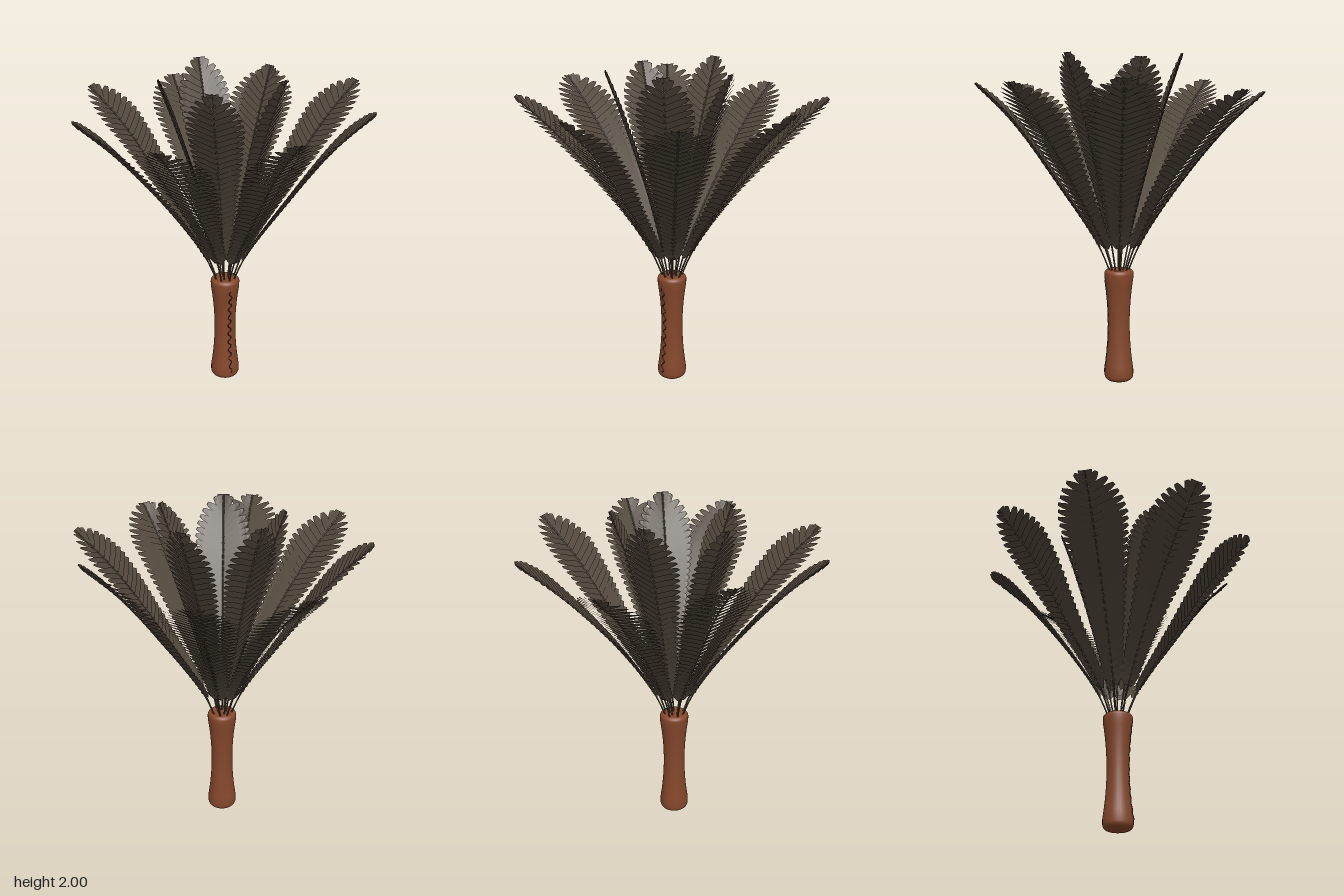
import * as THREE from 'three';

const leather = new THREE.MeshStandardMaterial({ color: 0x85472b });
leather.name = 'brown leather';
const plume = new THREE.MeshStandardMaterial({ color: 0x51473b, side: THREE.DoubleSide });
plume.name = 'dark feather';
const dark = new THREE.MeshStandardMaterial({ color: 0x2c2620 });
dark.name = 'thread';

// Half-width of a vane along the feather, as fractions of the widest point
const OUTLINE = [[0, 0.1], [0.14, 0.06], [0.19, 0.27], [0.3, 0.38], [0.5, 0.62], [0.68, 0.87],
  [0.82, 1], [0.88, 0.92], [0.94, 0.72], [0.98, 0.45], [1, 0.15]];
function outline(t) {
  for (let i = 1; i < OUTLINE.length; i++) {
    const [t0, w0] = OUTLINE[i - 1], [t1, w1] = OUTLINE[i];
    if (t <= t1) return w0 + (w1 - w0) * (t - t0) / (t1 - t0);
  }
  return OUTLINE[OUTLINE.length - 1][1];
}

// Overlapping barbs on both sides of the quill, each swept towards the tip and tilted like a slat
function vaneGeometry(curve, halfWidth, fold) {
  const barbs = 31, start = 0.13, sweep = 0.05;
  const pitch = (0.98 - start) / barbs, length = curve.getLength();
  const sections = [[0, 1.3], [0.6, 1.2], [0.86, 0.85], [1, 0.5]]; // [along barb, width in pitches]
  const positions = [];
  for (const side of [-1, 1]) {
    for (let i = 0; i < barbs; i++) {
      const root = start + (i + 0.5) * pitch;
      const reach = halfWidth * outline(Math.min(1, root + sweep));
      const slant = Math.atan2(sweep * length, reach);
      const corner = (f, width, edge) => {
        const half = edge * width * pitch * length / 2;
        const u = THREE.MathUtils.clamp(root + sweep * f + half * Math.cos(slant) / length, 0, 1);
        const across = f * reach - half * Math.sin(slant);
        const p = curve.getPointAt(u), d = curve.getTangentAt(u);
        const lift = fold * f * reach - edge * 0.007 * (1 - f * 0.3);
        return [p.x - d.y * lift, p.y + d.x * lift, side * across];
      };
      for (let s = 1; s < sections.length; s++) {
        const a = corner(...sections[s - 1], -1), b = corner(...sections[s - 1], 1);
        const c = corner(...sections[s], 1), e = corner(...sections[s], -1);
        if (side > 0) positions.push(...a, ...e, ...c, ...a, ...c, ...b);
        else positions.push(...a, ...c, ...e, ...a, ...b, ...c);
      }
    }
  }
  const geometry = new THREE.BufferGeometry();
  geometry.setAttribute('position', new THREE.Float32BufferAttribute(positions, 3));
  geometry.computeVertexNormals();
  return geometry;
}

function addMesh(parent, name, geometry, material) {
  const mesh = new THREE.Mesh(geometry, material);
  mesh.name = name;
  parent.add(mesh);
}

// A feather that leans along +x, then is turned about the handle's axis
function feather(name, path, angle, halfWidth, fold) {
  const group = new THREE.Group();
  group.name = name;
  const curve = new THREE.CatmullRomCurve3(path.map(([r, y]) => new THREE.Vector3(r, y, 0)));
  addMesh(group, 'vane', vaneGeometry(curve, halfWidth, fold), plume);
  addMesh(group, 'quill', new THREE.TubeGeometry(curve, 24, 0.005, 6), plume);
  group.rotation.y = -THREE.MathUtils.degToRad(angle);
  return group;
}

// Waisted handle
const handleRadius = (y) => 0.066 + 0.023 * Math.min(1, ((y - 0.36) / 0.29) ** 2);

function handle() {
  const points = [new THREE.Vector2(0, 0)];
  const round = 0.035;
  for (let i = 0; i <= 6; i++) {
    const a = (i / 6) * Math.PI / 2;
    points.push(new THREE.Vector2(0.089 - round + round * Math.sin(a), round - round * Math.cos(a)));
  }
  for (let i = 1; i <= 20; i++) {
    const y = round + (0.675 - round) * i / 20;
    points.push(new THREE.Vector2(handleRadius(y), y));
  }
  for (let i = 1; i <= 5; i++) {
    const a = (i / 5) * Math.PI / 2;
    points.push(new THREE.Vector2(0.064 + 0.025 * Math.cos(a), 0.675 + 0.025 * Math.sin(a)));
  }
  points.push(new THREE.Vector2(0, 0.69));
  return new THREE.LatheGeometry(points, 32);
}

// Wavy thread up the front seam
function seam() {
  const points = [];
  const steps = 80;
  for (let i = 0; i <= steps; i++) {
    const y = 0.05 + 0.585 * i / steps;
    points.push(new THREE.Vector3(0.01 * Math.sin(i / steps * Math.PI * 20), y, handleRadius(y)));
  }
  return new THREE.TubeGeometry(new THREE.CatmullRomCurve3(points), 160, 0.003, 5);
}

export function createModel() {
  const model = new THREE.Group();
  model.name = 'featherDuster';
  const duster = new THREE.Group();
  duster.name = 'duster';
  duster.position.set(0.009, 0, 0.005);
  model.add(duster);
  addMesh(duster, 'handle', handle(), leather);
  addMesh(duster, 'seamThread', seam(), dark);

  // Wide outer ring: [angle, tip radius, tip height]
  const outer = [[0, 0.876, 1.85], [44, 0.86, 1.83], [88.5, 0.845, 1.82], [137, 0.905, 1.81],
    [179, 0.899, 1.815], [224, 0.85, 1.84], [272, 0.865, 1.77], [314, 0.91, 1.79]];
  for (const [angle, r, y] of outer) {
    const path = [[0.045, 0.66], [0.13, 0.86], [0.35, 1.2], [0.74 * r, 1.2 + 0.63 * (y - 1.2)], [r, y]];
    duster.add(feather('outerFeather', path, angle, 0.205, 0.12));
  }

  // Upright inner ring: [angle, tip radius, tip height]
  const inner = [[-90, 0.375, 1.995], [-18, 0.365, 1.97], [54, 0.375, 1.995], [126, 0.38, 1.97], [198, 0.38, 1.955]];
  for (const [angle, r, y] of inner) {
    const path = [[0.02, 0.66], [0.065, 0.9], [0.15, 1.25], [0.7 * r, y - 0.335], [r, y]];
    duster.add(feather('innerFeather', path, angle, 0.165, 0.06));
  }
  return model;
}
